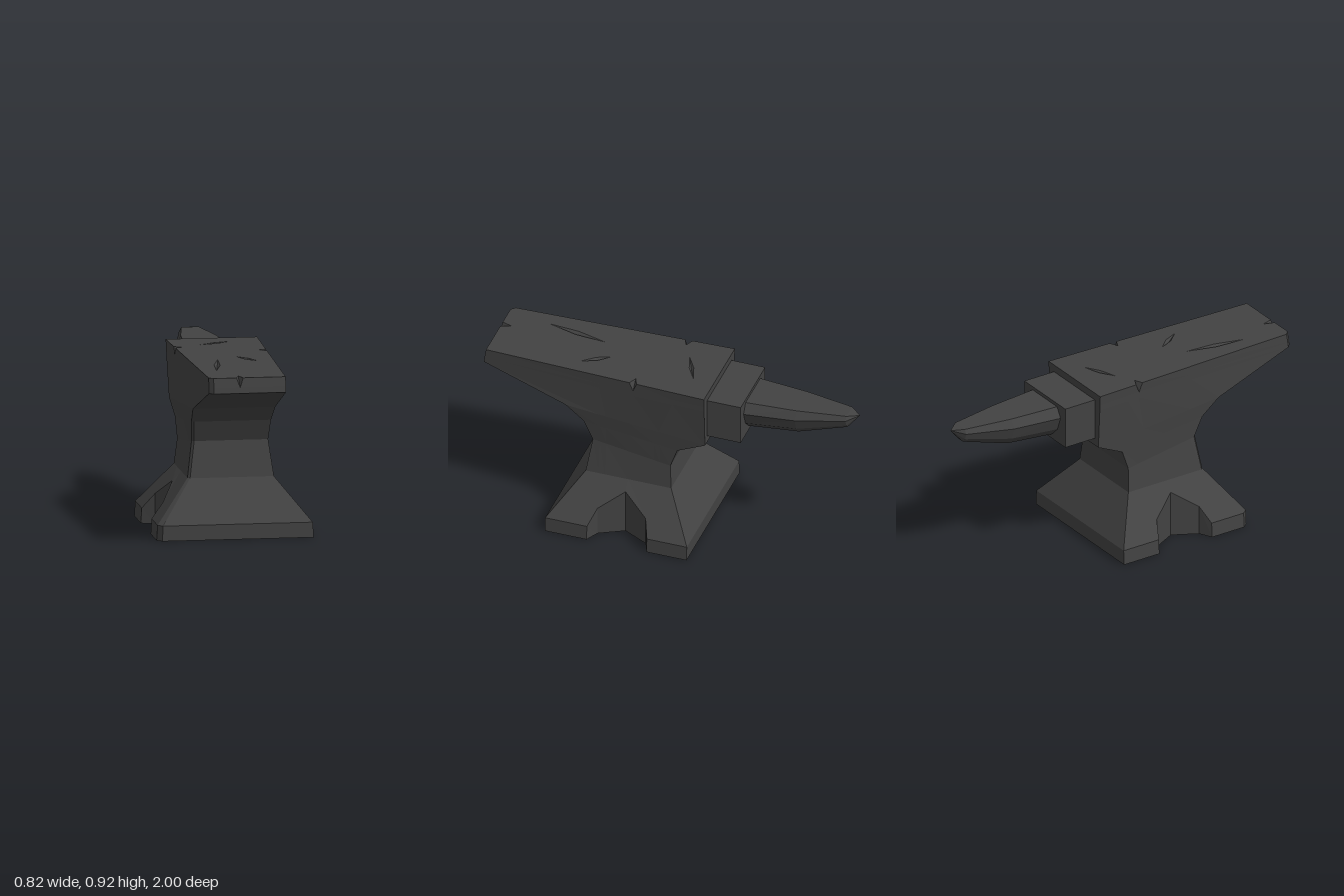
import * as THREE from 'three';

const V = (x, y, z) => new THREE.Vector3(x, y, z);

// Flat-shaded geometry from a list of triangle corners
function facets(points) {
  const g = new THREE.BufferGeometry().setFromPoints(points);
  g.computeVertexNormals();
  return g;
}

// Skin between rings that have equal point counts
function loft(rings) {
  const out = [];
  for (let i = 0; i < rings.length - 1; i++) {
    const lo = rings[i], hi = rings[i + 1], n = lo.length;
    for (let j = 0; j < n; j++) {
      const k = (j + 1) % n;
      for (const t of [[lo[j], hi[j], hi[k]], [lo[j], hi[k], lo[k]]]) {
        if (!t[0].equals(t[1]) && !t[1].equals(t[2]) && !t[0].equals(t[2])) out.push(...t);
      }
    }
  }
  return facets(out);
}

// Horizontal ring of the body: b / f are [z, y, halfWidth] at the back and front.
// midR / midL are the z values of the three middle side points, c the chipped corner.
function bodyRing(b, f, { midR = [0.06, 0.195, 0.325], midL = midR, c = 0.012, cut = 0 } = {}) {
  const at = (z) => {
    const t = (z - b[0]) / (f[0] - b[0]);
    return [b[2] + (f[2] - b[2]) * t, b[1] + (f[1] - b[1]) * t];
  };
  const side = (s, mid, end, chip) => {
    const first = chip ? -0.05 : 0.03;
    return [b[0], first, ...mid, 0.36, end].map((z, i) => {
      const [w, y] = at(z);
      return V(s * (w - (i === 3 ? cut : 0)), y, z);
    });
  };
  const chip = midR !== midL;
  const spread = cut ? 0.018 : chip ? 0 : 0.018;
  const front = [spread, 0, -spread].map((d, i) =>
    V(-0.04 + d, f[1], f[0] - (i === 1 ? cut * 1.3 : 0)));
  return [
    ...side(1, midR, f[0], chip), ...front, V(-f[2] + c, f[1], f[0]),
    ...side(-1, midL, f[0] - c, chip).reverse(),
  ];
}

// Foot ring with a pointed recess on each side; y follows the sloping flank
function footRing(w, y, raised) {
  const plan = [[w, -0.19], [w, 0.03], [0.34, 0.06], [0.27, 0.195], [0.34, 0.325], [w, 0.36], [w, 0.59]];
  const rise = [0, 0, 0.08, 0.17, 0.08, 0, 0];
  const side = (s) => plan.map(([x, z], i) => V(s * x, y + (raised ? rise[i] : 0), z));
  const left = side(-1);
  left[6].z -= 0.03;
  return [...side(1), ...[-0.022, -0.04, -0.058].map((x) => V(x, y, 0.59)),
    V(-w + 0.025, y, 0.59), ...left.reverse()];
}

export function createModel() {
  const group = new THREE.Group();
  const iron = new THREE.MeshStandardMaterial({ color: 0x424242 });
  const add = (name, geometry, parent = group) => {
    const m = new THREE.Mesh(geometry, iron);
    m.name = name;
    parent.add(m);
    return m;
  };

  // Body: feet, waist, heel and face, with three chips in the top edge
  const chipR = [0.17, 0.17, 0.17], chipL = [0.025, 0.025, 0.025];
  const foot = footRing(0.41, 0, false);
  const top = bodyRing([-0.225, 0.92, 0.24], [0.988, 0.92, 0.2],
    { midR: [0.15, 0.17, 0.19], midL: [0.005, 0.025, 0.045], c: 0.022, cut: 0.045 });
  add('body', loft([
    foot,
    footRing(0.405, 0.08, true),
    bodyRing([-0.04, 0.3, 0.226], [0.43, 0.3, 0.226]),
    bodyRing([-0.03, 0.43, 0.21], [0.4, 0.49, 0.2]),
    bodyRing([-0.07, 0.54, 0.215], [0.447, 0.6, 0.208]),
    bodyRing([-0.225, 0.615, 0.222], [0.545, 0.685, 0.215]),
    bodyRing([-0.225, 0.84, 0.236], [1, 0.84, 0.2], { midR: chipR, midL: chipL, c: 0.022 }),
    bodyRing([-0.225, 0.87, 0.237], [0.996, 0.87, 0.2], { midR: chipR, midL: chipL, c: 0.022 }),
    top,
  ]));

  // Underside
  const sole = new THREE.ShapeGeometry(new THREE.Shape(foot.map((p) => new THREE.Vector2(p.x, p.z))));
  add('underside', sole.rotateX(Math.PI / 2));

  // Striking face with hammered dents: [x0, z0, x1, z1, half width]
  const face = new THREE.Shape(top.map((p) => new THREE.Vector2(p.x, -p.z)));
  const dents = [];
  for (const [x0, z0, x1, z1, w] of [
    [-0.09, -0.03, 0.08, -0.11, 0.012],
    [-0.125, 0.75, -0.07, 0.43, 0.016],
    [0.04, 0.35, 0.13, 0.49, 0.014],
  ]) {
    const l = Math.hypot(x1 - x0, z1 - z0);
    const nx = -(z1 - z0) / l * w, nz = (x1 - x0) / l * w;
    const mx = (x0 + x1) / 2, mz = (z0 + z1) / 2;
    const rim = [V(x0, 0.92, z0), V(mx + nx, 0.92, mz + nz), V(x1, 0.92, z1), V(mx - nx, 0.92, mz - nz)];
    face.holes.push(new THREE.Path(rim.map((p) => new THREE.Vector2(p.x, -p.z))));
    rim.forEach((p, i) => dents.push(p, rim[(i + 1) % 4], V(mx, 0.905, mz)));
  }
  add('strikingFace', new THREE.ShapeGeometry(face).rotateX(-Math.PI / 2)).position.y = 0.92;
  add('dents', facets(dents));

  // Step block between body and horn
  add('stepBlock', new THREE.BoxGeometry(0.38, 0.225, 0.2)).position.set(0, 0.768, -0.31);

  // Horn: faceted section shrinking to a point, [z, halfWidth, bottom, top]
  const section = [[-1, 0.7], [-0.8, 0.28], [-0.45, 0], [0.45, 0], [0.8, 0.28], [1, 0.7], [0.78, 1], [-0.78, 1]];
  const horn = [[-0.4, 0.147, 0.68, 0.862], [-0.68, 0.115, 0.7, 0.858], [-0.94, 0.058, 0.775, 0.855], [-1, 0, 0.845, 0.845]]
    .map(([z, w, lo, hi]) => section.map(([u, v]) => V(u * w, lo + (hi - lo) * v, z)).reverse());
  // Clockwise seen from the tip
  add('horn', loft(horn.map((r) => r.slice().reverse())));

  return group;
}
